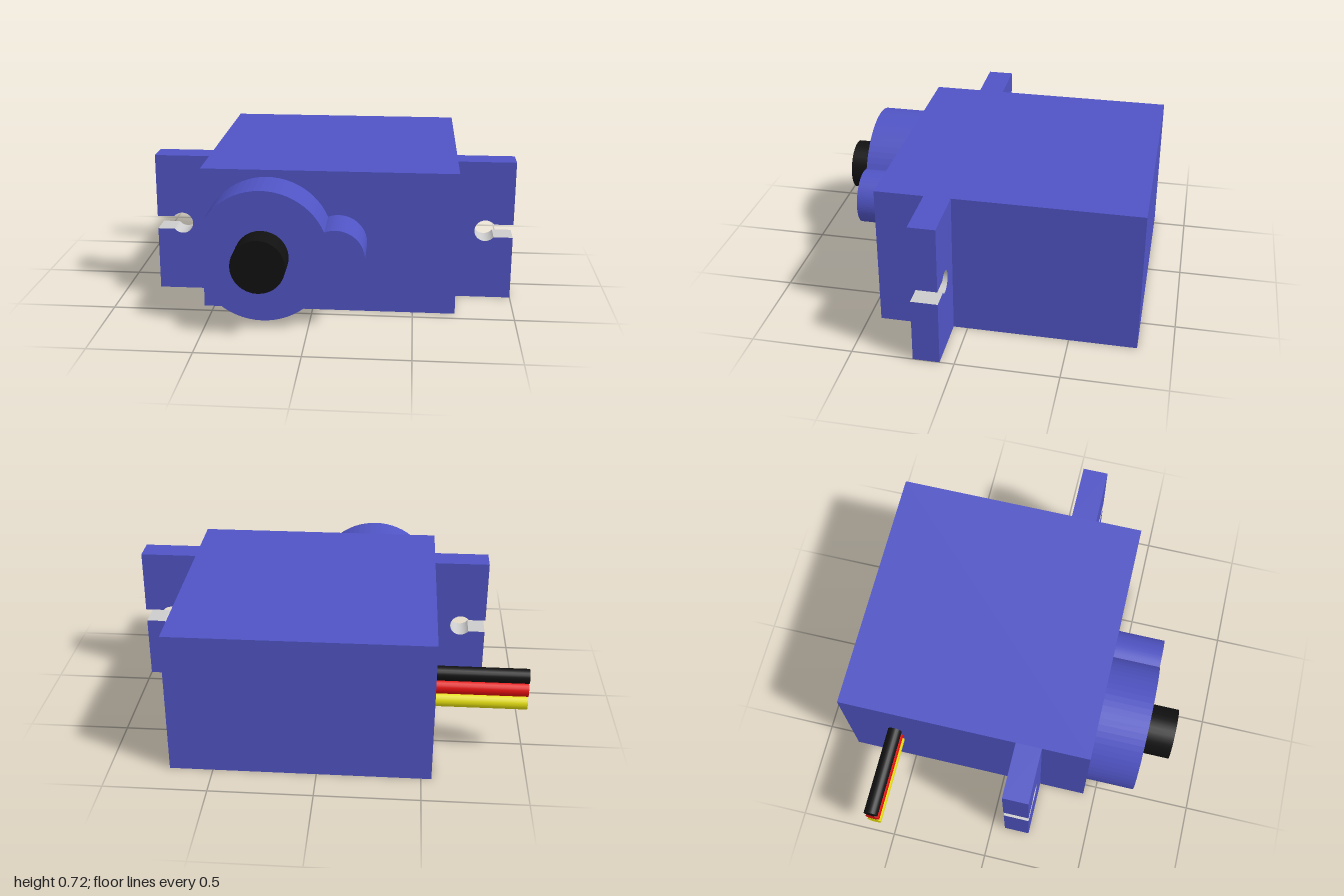
import * as THREE from 'three';

const CY = 0.36; // mid height shared by every feature

export function createModel() {
  const model = new THREE.Group();
  model.name = 'servoMotor';

  const mat = (name, color, flatShading = false) => {
    const m = new THREE.MeshStandardMaterial({ color, flatShading });
    m.name = name;
    return m;
  };
  const blue = mat('blue casing', 0x5054c4, true);
  const black = mat('black', 0x111111);
  const red = mat('red', 0xe60f0f);
  const yellow = mat('yellow', 0xe6e010);
  const grey = mat('grey', 0xcccccc);

  const add = (name, geometry, material, x, y, z) => {
    const mesh = new THREE.Mesh(geometry, material);
    mesh.name = name;
    mesh.position.set(x, y, z);
    model.add(mesh);
    return mesh;
  };

  // Casing
  add('casing', new THREE.BoxGeometry(1.26, 0.72, 1.27), blue, 0.08, CY, -0.195);

  // Mounting tab reaching out along +x, with an open keyhole whose walls are grey
  const tabGeometry = (w) => {
    const r = 0.055, slot = 0.034, a = Math.asin(slot / r);
    const s = new THREE.Shape();
    s.moveTo(0, -CY);
    s.lineTo(w, -CY);
    s.lineTo(w, -slot);
    s.absarc(0.15, 0, r, -a, a, true);
    s.lineTo(w, slot);
    s.lineTo(w, CY);
    s.lineTo(0, CY);
    s.closePath();
    const g = new THREE.ExtrudeGeometry(s, { depth: 0.13, bevelEnabled: false, curveSegments: 20 });
    g.translate(0, 0, -0.065);
    // Faces of the side wall that lie inside the keyhole get the second material
    const p = g.attributes.position, n = g.attributes.normal;
    g.clearGroups();
    let start = 0, last = 0;
    for (let i = 0; i < p.count; i += 3) {
      const y = (p.getY(i) + p.getY(i + 1) + p.getY(i + 2)) / 3;
      const m = Math.abs(n.getZ(i)) < 0.5 && Math.abs(y) < 0.06 ? 1 : 0;
      if (m !== last) {
        if (i > start) g.addGroup(start, i - start, last);
        start = i;
        last = m;
      }
    }
    g.addGroup(start, p.count - start, last);
    return g;
  };
  add('leftTab', tabGeometry(0.29), [blue, grey], 0.71, CY, 0.135);
  add('rightTab', tabGeometry(0.28), [blue, grey], -0.55, CY, 0.135).rotation.y = Math.PI;

  // Gear housing: a large and a small circle joined into one outline
  const R = 0.325, r = 0.14, d = 0.35;
  const ix = (d * d + R * R - r * r) / (2 * d), iy = Math.sqrt(R * R - ix * ix);
  const b = Math.atan2(iy, ix), c = Math.atan2(iy, ix - d);
  const outline = new THREE.Shape();
  outline.absarc(0, 0, R, b, Math.PI * 2 - b, false);
  outline.absarc(d, 0, r, -c, c, false);
  add('gearHousing',
    new THREE.ExtrudeGeometry(outline, { depth: 0.245, bevelEnabled: false, curveSegments: 28 }),
    blue, -0.22, CY, 0.44);

  // Output shaft
  const shaft = new THREE.CylinderGeometry(0.13, 0.13, 0.17, 32).rotateX(Math.PI / 2);
  add('outputShaft', shaft, black, -0.22, CY, 0.745);

  // Three wires leaving the side
  const wire = new THREE.CylinderGeometry(0.036, 0.036, 0.47, 20).rotateZ(Math.PI / 2);
  [['blackWire', black], ['redWire', red], ['yellowWire', yellow]].forEach(([name, m], i) =>
    add(name, wire, m, -0.765, 0.434 - i * 0.072, -0.57));

  return model;
}
